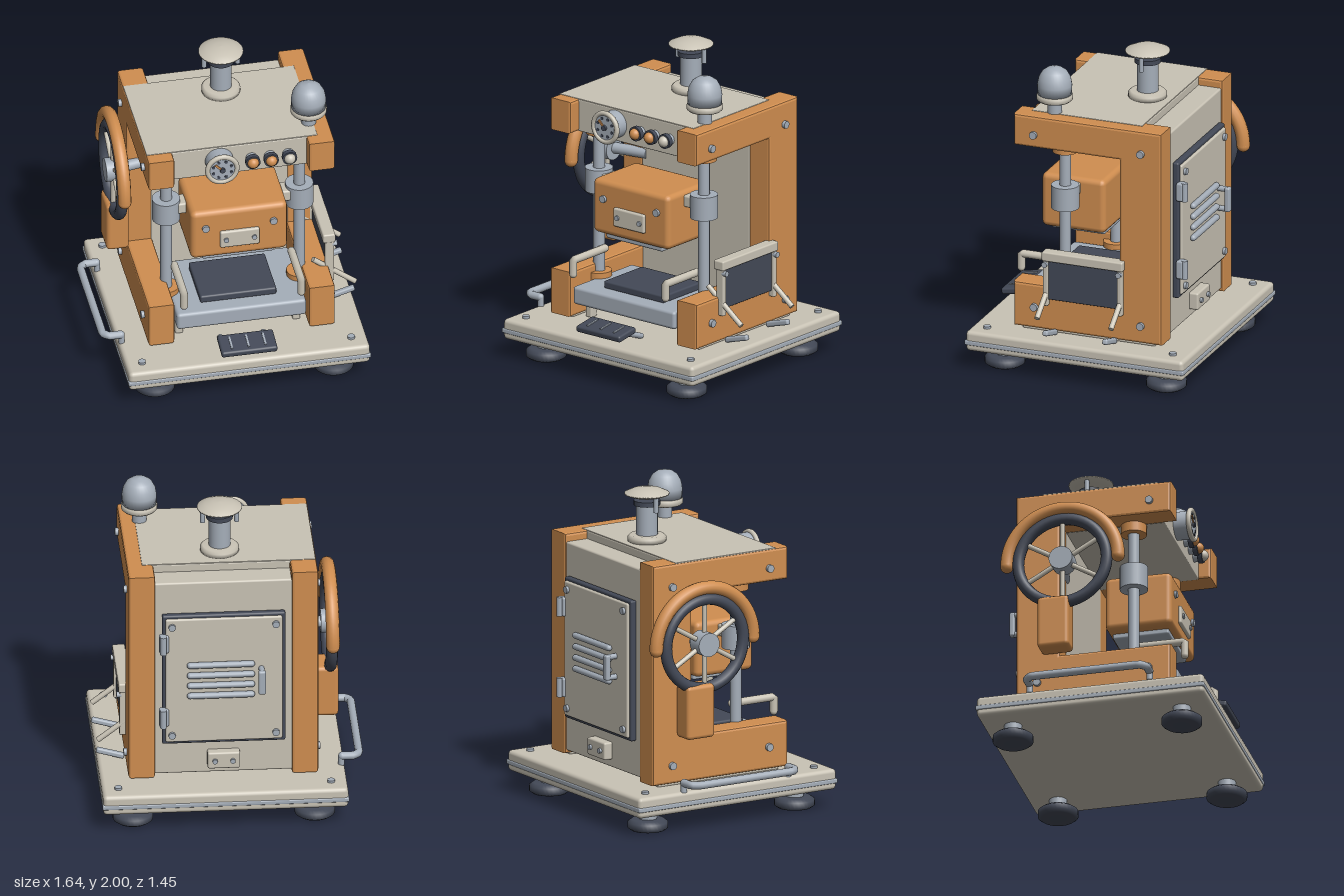
import * as THREE from 'three';
import { RoundedBoxGeometry } from 'three/addons/geometries/RoundedBoxGeometry.js';

const mat = (name, color) => Object.assign(new THREE.MeshStandardMaterial({ color }), { name });

export function createModel() {
  const orange = mat('orange paint', 0xd08e50);
  const beige = mat('beige paint', 0xc9c3b5);
  const steel = mat('steel', 0xa5aeb9);
  const dark = mat('dark rubber', 0x434957);
  const root = new THREE.Group();
  root.name = 'press';

  const add = (name, geo, m, x = 0, y = 0, z = 0, parent = root) => {
    const mesh = new THREE.Mesh(geo, m);
    mesh.name = name;
    mesh.position.set(x, y, z);
    parent.add(mesh);
    return mesh;
  };
  // Rounded box from its limits on each axis
  const box = (name, m, [x0, x1], [y0, y1], [z0, z1], r = 0.012) => {
    const w = x1 - x0, h = y1 - y0, d = z1 - z0;
    const geo = new RoundedBoxGeometry(w, h, d, 2, Math.min(r, w * 0.4, h * 0.4, d * 0.4));
    return add(name, geo, m, (x0 + x1) / 2, (y0 + y1) / 2, (z0 + z1) / 2);
  };
  // Cylinder between two points
  const rod = (name, m, a, b, r, seg = 24, r2 = r) => {
    const p = new THREE.Vector3(...a), q = new THREE.Vector3(...b), d = q.clone().sub(p);
    const mesh = add(name, new THREE.CylinderGeometry(r2, r, d.length(), seg), m, ...p.clone().add(q).multiplyScalar(0.5));
    mesh.quaternion.setFromUnitVectors(new THREE.Vector3(0, 1, 0), d.normalize());
    return mesh;
  };
  const tube = (name, m, pts, r) => {
    const path = new THREE.CurvePath();
    for (let i = 1; i < pts.length; i++) path.add(new THREE.LineCurve3(new THREE.Vector3(...pts[i - 1]), new THREE.Vector3(...pts[i])));
    add(name, new THREE.TubeGeometry(path, 40, r, 12), m);
    for (const p of [pts[0], pts[pts.length - 1]]) add(name + 'End', new THREE.SphereGeometry(r, 12, 8), m, ...p);
  };
  const lathe = (name, m, pts, x, y, z) =>
    add(name, new THREE.LatheGeometry(pts.map(p => new THREE.Vector2(...p)), 32), m, x, y, z);

  // Base plate with band, feet and bolts
  box('basePlate', beige, [-0.705, 0.805], [0.125, 0.255], [-0.72, 0.72], 0.025);
  box('baseBand', steel, [-0.71, 0.81], [0.165, 0.195], [-0.725, 0.725], 0.008);
  for (const x of [-0.51, 0.61]) for (const z of [-0.535, 0.535]) {
    lathe('foot', dark, [[0, 0], [0.105, 0], [0.125, 0.015], [0.125, 0.05], [0.1, 0.068], [0, 0.07]], x, 0, z);
    rod('footStem', steel, [x, 0.07, z], [x, 0.13, z], 0.055);
  }
  for (const x of [-0.605, 0.705]) for (const z of [-0.615, 0.615])
    rod('baseBolt', steel, [x, 0.25, z], [x, 0.27, z], 0.023, 16);

  // C-shaped side frames
  const b = 0.016, c = new THREE.Shape();
  [[0.47 - b, 0.27 + b], [0.47 - b, 0.56 - b], [-0.23 - b, 0.56 - b], [-0.23 - b, 1.455 + b],
    [0.47 - b, 1.455 + b], [0.47 - b, 1.66 - b], [-0.51 + b, 1.66 - b], [-0.51 + b, 0.27 + b]]
    .forEach(([z, y], i) => (i ? c.lineTo(z, y) : c.moveTo(z, y)));
  const frameGeo = new THREE.ExtrudeGeometry(c, { depth: 0.165 - 2 * b, bevelSize: b, bevelThickness: b, bevelSegments: 2 });
  frameGeo.translate(0, 0, -(0.165 - 2 * b) / 2).rotateY(-Math.PI / 2);
  for (const [x, s] of [[-0.4525, -1], [0.5525, 1]]) {
    add('sideFrame', frameGeo, orange, x);
    box('framePad', beige, [x - 0.06, x + 0.06], [0.25, 0.28], [-0.46, 0.42]);
    for (const [z, y] of [[0.335, 1.54], [-0.375, 1.515], [0.33, 0.41], [-0.375, 0.385]])
      rod('frameBolt', steel, [x + s * 0.08, y, z], [x + s * 0.103, y, z], 0.024, 16);
  }

  // Body and head
  box('rearBody', beige, [-0.38, 0.48], [0.29, 1.61], [-0.5, -0.23]);
  box('head', beige, [-0.38, 0.48], [1.455, 1.658], [-0.35, 0.39], 0.006);
  box('headTopPlate', beige, [-0.53, 0.54], [1.655, 1.663], [-0.345, 0.385], 0.002);

  // Rear door
  box('doorGasket', dark, [-0.33, 0.43], [0.515, 1.405], [-0.542, -0.5]);
  box('doorPanel', beige, [-0.31, 0.41], [0.535, 1.385], [-0.558, -0.53]);
  for (const x of [-0.27, 0.37]) for (const y of [0.585, 1.335])
    rod('doorBolt', steel, [x, y, -0.55], [x, y, -0.575], 0.022, 16);
  for (const y of [0.71, 1.22]) {
    box('hingeLeaf', steel, [0.39, 0.45], [y - 0.06, y + 0.06], [-0.575, -0.53]);
    rod('hingePin', steel, [0.425, y - 0.06, -0.58], [0.425, y + 0.06, -0.58], 0.02, 16);
  }
  for (let i = 0; i < 4; i++) {
    const y = 0.86 + i * 0.07;
    const louver = add('louver', new THREE.CapsuleGeometry(0.02, 0.38, 6, 12), steel, 0.07, y, -0.57);
    louver.rotation.z = Math.PI / 2;
  }
  for (const y of [0.9, 1.03]) rod('latchPost', steel, [-0.18, y, -0.55], [-0.18, y, -0.62], 0.018, 12);
  box('latchGrip', steel, [-0.203, -0.157], [0.885, 1.045], [-0.64, -0.605]);
  box('rearTag', beige, [-0.05, 0.15], [0.34, 0.45], [-0.557, -0.49]);
  for (const x of [-0.005, 0.105]) rod('tagBolt', steel, [x, 0.395, -0.55], [x, 0.395, -0.572], 0.016, 12);

  // Guide posts, collars, sleeves and ram
  for (const [x, s] of [[-0.37, 1], [0.465, -1]]) {
    rod('guidePost', steel, [x, 0.4, 0.195], [x, 1.46, 0.195], 0.036);
    rod('upperCollar', orange, [x, 1.395, 0.195], [x, 1.46, 0.195], 0.08);
    rod('lowerCollar', orange, [x, 0.46, 0.195], [x, 0.51, 0.195], 0.08);
    rod('sleeve', steel, [x, 1.025, 0.195], [x, 1.175, 0.195], 0.087);
    const inner = x + s * 0.15;
    box('ramArm', beige, [Math.min(x + s * 0.05, inner), Math.max(x + s * 0.05, inner)], [1.08, 1.155], [0.14, 0.25]);
    // Hand guard
    const gx = x + s * 0.05;
    tube('handGuard', beige, [[gx, 0.66, 0.2], [gx, 0.66, 0.505], [gx, 0.57, 0.505]], 0.025);
    box('tableLeg', beige, [gx - 0.025, gx + 0.025], [0.25, 0.37], [0.3, 0.36]);
    box('tableLeg', beige, [gx - 0.025, gx + 0.025], [0.25, 0.37], [-0.06, 0]);
  }
  box('ram', orange, [-0.255, 0.352], [0.832, 1.182], [-0.02, 0.402], 0.035);
  box('ramPlate', steel, [-0.175, 0.272], [0.8, 0.84], [0.01, 0.365]);
  box('ramTag', beige, [-0.075, 0.172], [0.91, 1.03], [0.39, 0.422]);
  for (const x of [-0.038, 0.138]) rod('tagScrew', steel, [x, 0.97, 0.41], [x, 0.97, 0.432], 0.016, 12);
  for (const x of [-0.163, 0.262]) rod('ramBolt', steel, [x, 1.063, 0.39], [x, 1.063, 0.418], 0.023, 16);

  // Work table
  box('table', steel, [-0.355, 0.455], [0.36, 0.475], [-0.1, 0.47], 0.02);
  box('tablePad', dark, [-0.19, 0.288], [0.47, 0.52], [0.0, 0.37]);

  // Foot pedal
  const pedal = new THREE.Group();
  pedal.name = 'pedal';
  pedal.position.set(0.05, 0.323, 0.637);
  pedal.rotation.x = 0.16;
  root.add(pedal);
  add('pedalPlate', new RoundedBoxGeometry(0.35, 0.042, 0.165, 2, 0.014), dark, 0, 0, 0, pedal);
  for (const x of [-0.105, 0, 0.105]) add('pedalRib', new THREE.BoxGeometry(0.012, 0.009, 0.1), steel, x, 0.022, 0, pedal);
  for (const x of [-0.085, 0.185]) rod('pedalArm', steel, [x, 0.265, 0.46], [x, 0.32, 0.61], 0.018, 12);

  // Carry handle on the right edge of the base
  tube('carryHandle', steel, [[-0.69, 0.31, -0.385], [-0.765, 0.31, -0.385], [-0.797, 0.31, -0.35],
    [-0.797, 0.31, 0.34], [-0.765, 0.31, 0.375], [-0.69, 0.31, 0.375]], 0.025);
  for (const z of [-0.385, 0.375]) rod('handlePost', steel, [-0.685, 0.25, z], [-0.685, 0.31, z], 0.02, 12);

  // Flywheel, its guard and drive box
  const wheel = new THREE.Group();
  wheel.name = 'flywheel';
  wheel.position.set(-0.622, 1.153, -0.193);
  wheel.rotation.y = Math.PI / 2;
  root.add(wheel);
  add('wheelRim', new THREE.TorusGeometry(0.28, 0.037, 12, 48), dark, 0, 0, 0, wheel);
  for (let i = 0; i < 6; i++) {
    const a = i * Math.PI / 3;
    const spoke = add('spoke', new THREE.CylinderGeometry(0.016, 0.016, 0.23, 10), beige, -Math.sin(a) * 0.16, Math.cos(a) * 0.16, 0, wheel);
    spoke.rotation.z = a;
  }
  add('wheelGuard', new THREE.TorusGeometry(0.352, 0.042, 12, 40, Math.PI), orange, 0, 0, 0, wheel);
  for (const x of [-0.352, 0.352]) add('guardEnd', new THREE.SphereGeometry(0.042, 16, 8), orange, x, 0, 0, wheel);
  rod('wheelHub', steel, [-0.676, 1.153, -0.193], [-0.57, 1.153, -0.193], 0.075);
  rod('wheelAxle', steel, [-0.62, 1.153, -0.193], [-0.35, 1.153, -0.25], 0.035);
  box('driveBox', orange, [-0.672, -0.53], [0.565, 0.903], [-0.345, -0.145], 0.025);

  // Side panel with stays
  box('sidePanel', dark, [0.63, 0.655], [0.48, 0.74], [-0.235, 0.24], 0.005);
  box('panelTopRail', beige, [0.6, 0.678], [0.735, 0.796], [-0.268, 0.268], 0.01);
  for (const z of [-0.245, 0.245]) {
    box('panelSideRail', beige, [0.615, 0.672], [0.44, 0.74], [z - 0.016, z + 0.016], 0.008);
    rod('panelStay', beige, [0.54, 0.61, z], [0.805, 0.405, z], 0.017, 12);
    rod('panelScrew', steel, [0.66, 0.715, z], [0.69, 0.715, z], 0.018, 12);
  }
  for (const z of [-0.205, 0.19]) {
    const lever = box('sideLever', steel, [0.635, 0.815], [0.275, 0.31], [z - 0.018, z + 0.018]);
    lever.rotation.z = 0.28;
  }

  // Chimney
  const cx = 0.05, cz = -0.183;
  lathe('chimneyFlange', beige, [[0, 0], [0.12, 0], [0.12, 0.03], [0.105, 0.045], [0, 0.045]], cx, 1.66, cz);
  rod('chimneyPipe', steel, [cx, 1.7, cz], [cx, 1.9, cz], 0.067);
  rod('chimneyBand', dark, [cx, 1.89, cz], [cx, 1.92, cz], 0.082);
  lathe('chimneyCap', beige, [[0, 0], [0.1, 0], [0.138, 0.014], [0.138, 0.022], [0.09, 0.044], [0.04, 0.053], [0, 0.055]], cx, 1.945, cz);
  for (const x of [-0.105, 0.105]) rod('capStrut', steel, [cx + x, 1.86, cz], [cx + x, 1.955, cz], 0.015, 12);

  // Signal lamp
  const lx = 0.513, lz = 0.245;
  rod('lampStem', steel, [lx, 1.65, lz], [lx, 1.75, lz], 0.045);
  lathe('lampFlange', beige, [[0, 0], [0.1, 0], [0.112, 0.012], [0.112, 0.036], [0.1, 0.045], [0, 0.045]], lx, 1.74, lz);
  lathe('lampDome', steel, [[0, 0], [0.106, 0], [0.108, 0.06], [0.1, 0.105], [0.078, 0.145], [0.045, 0.168], [0, 0.176]], lx, 1.784, lz);

  // Gauge
  const gx = -0.077, gy = 1.565;
  rod('gaugeCase', steel, [gx, gy, 0.38], [gx, gy, 0.49], 0.088, 32);
  add('gaugeRim', new THREE.TorusGeometry(0.092, 0.016, 10, 40), beige, gx, gy, 0.49);
  rod('gaugeFace', steel, [gx, gy, 0.488], [gx, gy, 0.495], 0.085, 32);
  for (let i = 0; i < 8; i++) {
    const a = (i + 0.5) * Math.PI / 4, x = gx + Math.cos(a) * 0.06, y = gy + Math.sin(a) * 0.06;
    rod('gaugeMark', dark, [x, y, 0.492], [x, y, 0.499], 0.01, 10);
  }
  const needle = add('gaugeNeedle', new THREE.BoxGeometry(0.065, 0.013, 0.007), orange, gx - 0.022, gy + 0.02, 0.5);
  needle.rotation.z = -Math.PI / 4;
  rod('needlePin', dark, [gx, gy, 0.49], [gx, gy, 0.51], 0.017, 16);

  // Push buttons
  [[0.125, orange], [0.24, orange], [0.355, beige]].forEach(([x, m]) => {
    rod('buttonNeck', steel, [x, 1.555, 0.38], [x, 1.555, 0.425], 0.035);
    rod('buttonRing', dark, [x, 1.555, 0.42], [x, 1.555, 0.45], 0.046);
    add('buttonCap', new THREE.SphereGeometry(0.036, 20, 12), m, x, 1.555, 0.448);
  });
  return root;
}
